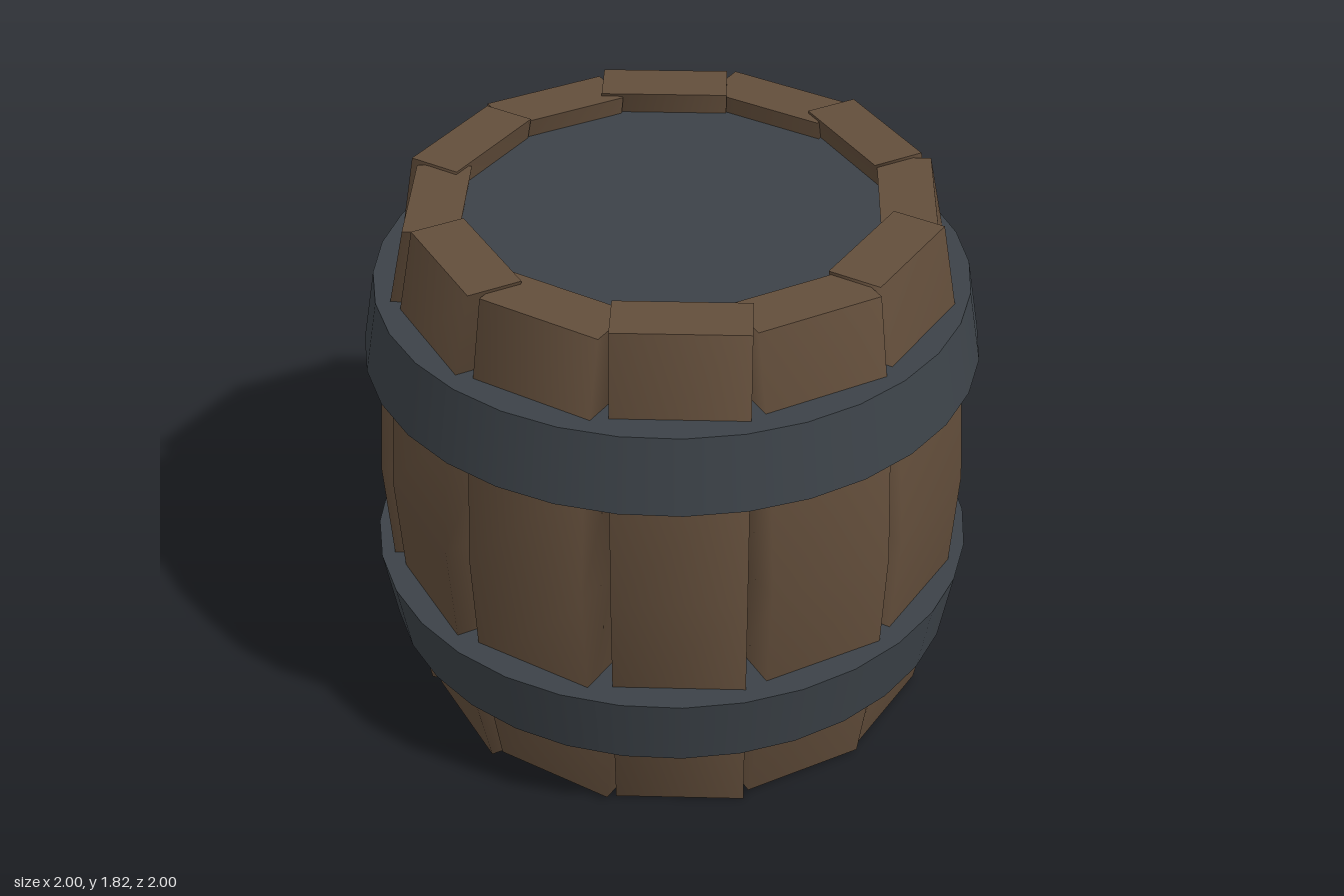
import * as THREE from 'three';

const wood = new THREE.MeshStandardMaterial({ color: 0x634e3b });
wood.name = 'brown wood';
const iron = new THREE.MeshStandardMaterial({ color: 0x3c4248 });
iron.name = 'dark iron';

const MID = 0.91;

// A plank bowed outwards along its height, set a little off its own radius.
// Its long sides are shaded smoothly into each other; its ends stay flat.
function staveGeometry(height) {
  const width = 0.42, thickness = 0.177, bow = 0.122;
  const geo = new THREE.BoxGeometry(width, height, thickness, 1, 4, 1);
  const pos = geo.attributes.position;
  const normal = geo.attributes.normal;
  const v = new THREE.Vector3();
  for (let i = 0; i < pos.count; i++) {
    const t = pos.getY(i) / (height / 2);
    const sx = Math.sign(pos.getX(i));
    const sz = Math.sign(pos.getZ(i));
    if (Math.abs(normal.getY(i)) < 0.5) {
      const slope = (2 * bow * t) / (height / 2);
      v.set(sx * thickness, sz * width * slope, sz * width).normalize();
      normal.setXYZ(i, v.x, v.y, v.z);
    }
    pos.setX(i, pos.getX(i) + 0.05);
    pos.setZ(i, pos.getZ(i) + 0.95 - bow * t * t - thickness / 2);
  }
  return geo;
}

export function createModel() {
  const barrel = new THREE.Group();
  barrel.name = 'barrel';

  // Ring of twelve staves, every other one slightly longer
  const staves = new THREE.Group();
  staves.name = 'staves';
  staves.position.set(-0.01, MID, -0.02);
  const geometries = [staveGeometry(1.8), staveGeometry(1.82)];
  for (let i = 0; i < 12; i++) {
    const stave = new THREE.Mesh(geometries[i % 2], wood);
    stave.name = 'stave';
    stave.rotation.y = (i * Math.PI) / 6;
    staves.add(stave);
  }
  barrel.add(staves);

  // Two hoops, wider towards the middle, and a core that closes both ends
  const addRound = (name, y, rTop, rBottom, height) => {
    const mesh = new THREE.Mesh(new THREE.CylinderGeometry(rTop, rBottom, height, 32), iron);
    mesh.name = name;
    mesh.position.y = y;
    barrel.add(mesh);
  };
  addRound('upperHoop', 1.43, 0.957, 1, 0.25);
  addRound('lowerHoop', 0.433, 1, 0.957, 0.25);
  addRound('core', MID, 0.74, 0.74, 1.67);

  return barrel;
}
